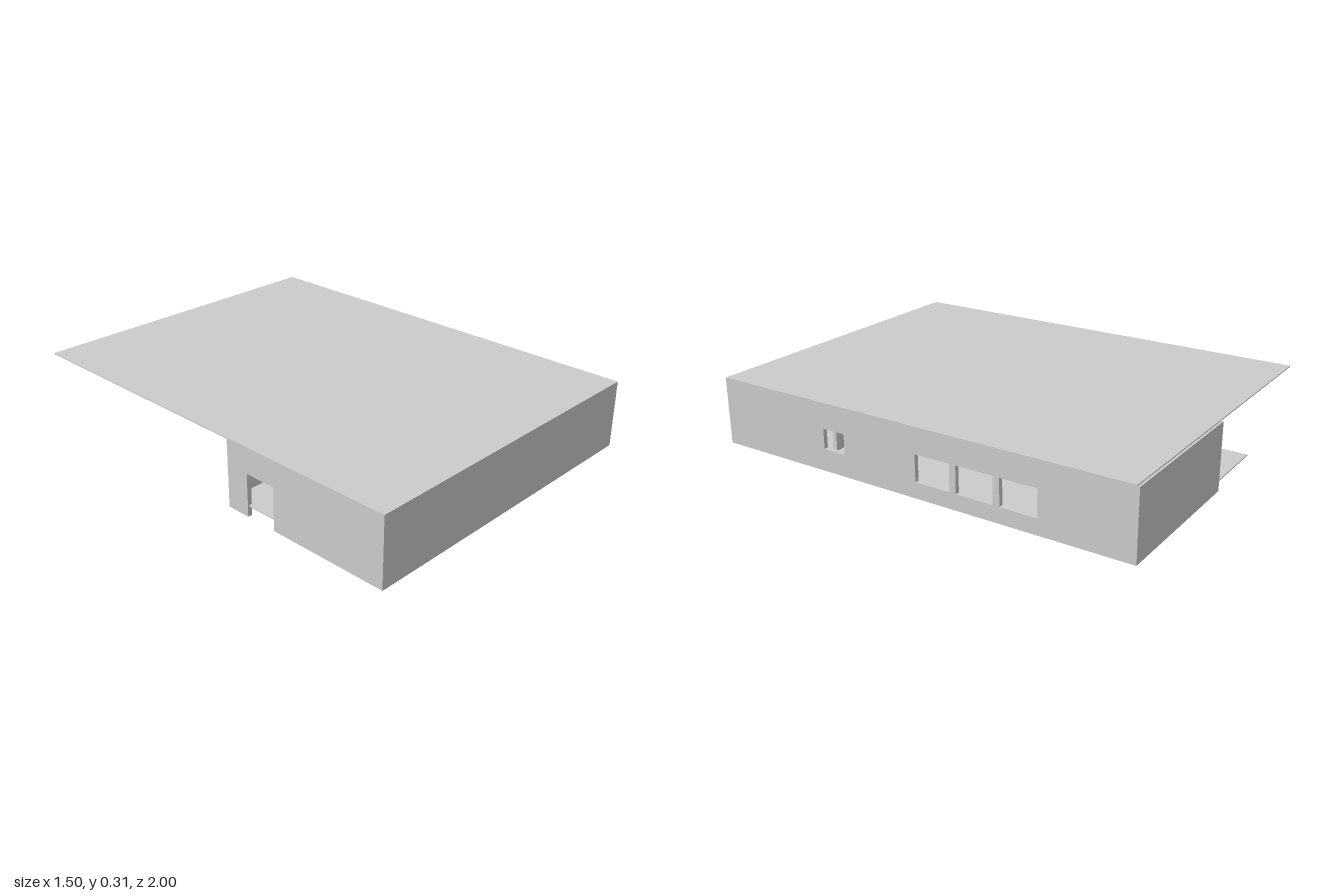
import * as THREE from 'three';

const HEIGHT = 0.3, WALL = 0.02, HEAD = 0.19, FLOOR_Y = 0.05, SLAB = 0.005;
const material = new THREE.MeshStandardMaterial({ color: 0xcccccc });

function slab(name, x0, x1, z0, z1, top) {
  const mesh = new THREE.Mesh(new THREE.BoxGeometry(x1 - x0, SLAB, z1 - z0), material);
  mesh.name = name;
  mesh.position.set((x0 + x1) / 2, top - SLAB / 2, (z0 + z1) / 2);
  return mesh;
}

// Elevation of a wall: doors [from, to] notch the bottom edge, windows [from, to, sill] are holes.
function elevation(from, to, doors, windows) {
  const shape = new THREE.Shape();
  shape.moveTo(from, 0);
  for (const [a, b] of doors) {
    shape.lineTo(a, 0);
    shape.lineTo(a, HEAD);
    shape.lineTo(b, HEAD);
    shape.lineTo(b, 0);
  }
  shape.lineTo(to, 0);
  shape.lineTo(to, HEIGHT);
  shape.lineTo(from, HEIGHT);
  for (const [a, b, sill] of windows) {
    const hole = new THREE.Path();
    hole.moveTo(a, sill);
    hole.lineTo(a, HEAD);
    hole.lineTo(b, HEAD);
    hole.lineTo(b, sill);
    hole.closePath();
    shape.holes.push(hole);
  }
  return shape;
}

// Wall running along x, filling z to z + WALL
function wallX(name, z, from, to, doors = []) {
  const geometry = new THREE.ExtrudeGeometry(elevation(from, to, doors, []), { depth: WALL, bevelEnabled: false });
  const mesh = new THREE.Mesh(geometry, material);
  mesh.name = name;
  mesh.position.z = z;
  return mesh;
}

// Wall running along z, filling x to x + WALL; openings are given in z
function wallZ(name, x, from, to, doors = [], windows = []) {
  const flip = (list) => list.map(([a, b, sill]) => [-b, -a, sill]).sort((p, q) => p[0] - q[0]);
  const shape = elevation(-to, -from, flip(doors), flip(windows));
  const geometry = new THREE.ExtrudeGeometry(shape, { depth: WALL, bevelEnabled: false });
  const mesh = new THREE.Mesh(geometry, material);
  mesh.name = name;
  mesh.rotation.y = Math.PI / 2;
  mesh.position.x = x;
  return mesh;
}

export function createModel() {
  const house = new THREE.Group();
  house.name = 'house';

  // Flat roof, covering the rooms, the porch and the open terrace
  house.add(slab('roof', -0.75, 0.75, -0.99, 1, HEIGHT + SLAB));

  // Floors, raised above the foot of the walls
  const floors = new THREE.Group();
  floors.name = 'floors';
  floors.add(
    slab('backRoomFloor', 0.04, 0.745, -0.995, -0.62, FLOOR_Y),
    slab('mainRoomFloor', -0.26, 0.745, -0.62, 0.2, FLOOR_Y),
    slab('frontFloor', -0.745, 0.745, 0.2, 0.995, FLOOR_Y),
    slab('porchFloor', -0.265, 0.04, -1, -0.62, FLOOR_Y),
    slab('terraceThreshold', -0.35, -0.26, -0.25, -0.11, FLOOR_Y)
  );
  house.add(floors);

  // Outer walls
  const outer = new THREE.Group();
  outer.name = 'outerWalls';
  const windows = [[0.33, 0.44, 0.1], [-0.2, -0.035, 0.07], [-0.4, -0.23, 0.07], [-0.595, -0.43, 0.07]];
  outer.add(
    wallX('frontWall', 1 - WALL, -0.75, 0.75),
    wallZ('windowWall', 0.75 - WALL, -1, 1, [], windows),
    wallX('backWall', -1, 0.035, 0.75),
    wallZ('porchSideWall', 0.035, -1, -0.61),
    wallX('porchBackWall', -0.63, -0.265, 0.055),
    wallZ('terraceSideWall', -0.265, -0.63, 0.21, [[-0.25, -0.11]]),
    wallZ('entranceWall', -0.75, 0.2, 1, [[0.31, 0.455]])
  );
  house.add(outer);

  // Inner walls: two along the corridor, two between the front rooms
  const inner = new THREE.Group();
  inner.name = 'innerWalls';
  inner.add(
    wallX('corridorBackWall', 0.2, -0.75, 0.75, [[0.41, 0.57]]),
    wallX('corridorFrontWall', 0.465, -0.75, 0.75, [[-0.31, -0.22], [0.65, 0.73]])
  );
  for (const x of [0.185, -0.17]) inner.add(wallZ('roomPartition', x, 0.465, 1, [[0.72, 0.82]]));
  house.add(inner);

  return house;
}
